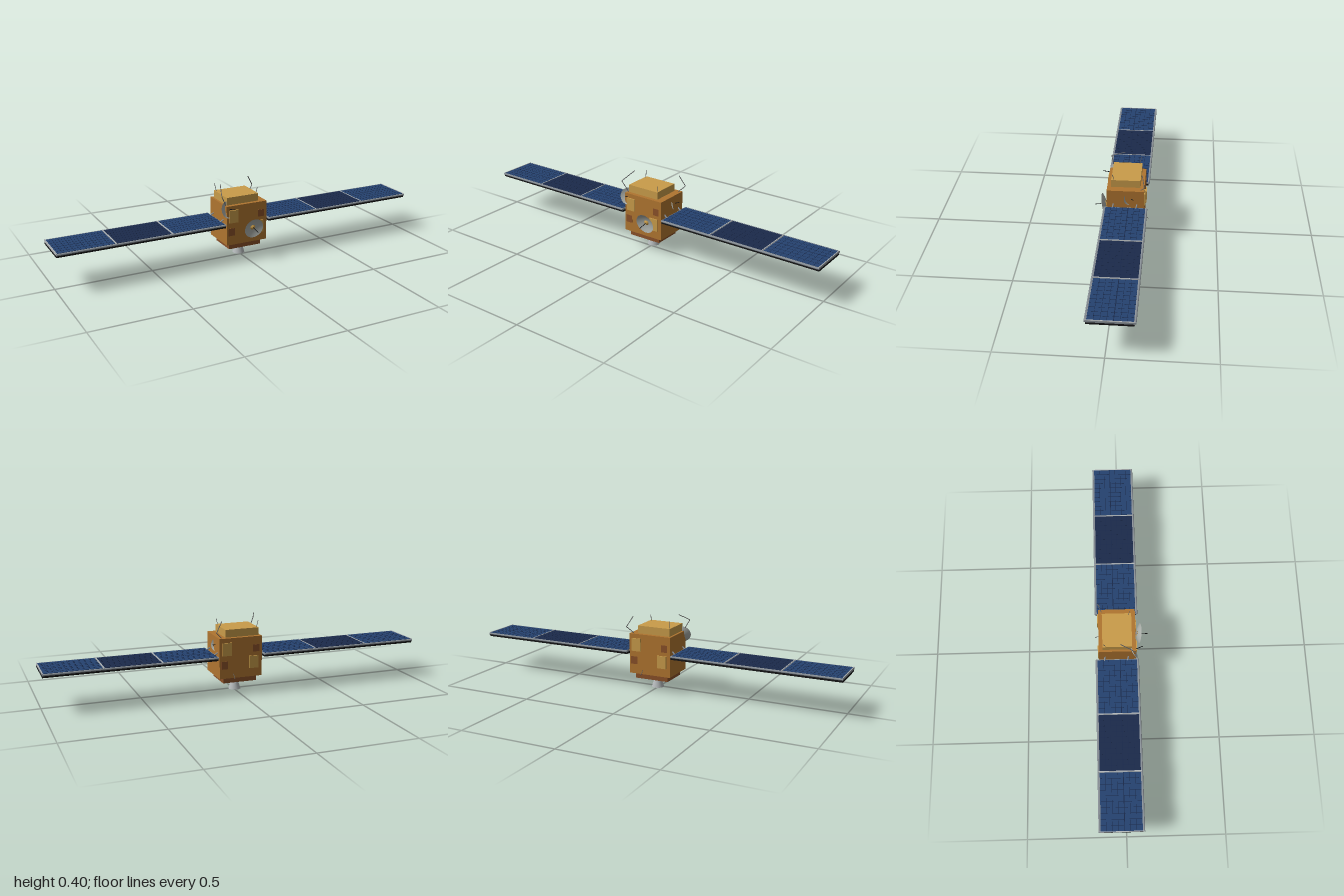
import * as THREE from 'three';

const mat = (color, double) => new THREE.MeshStandardMaterial({ color, side: double ? THREE.DoubleSide : THREE.FrontSide });
const M = {
  foil: mat(0xb07530), gold: mat(0xc99c4a), copper: mat(0x8a5028), black: mat(0x141516),
  metal: mat(0x8b9299), silver: mat(0xb4b8ba, true), dish: mat(0xa9ada8, true), rod: mat(0x6b6b6b),
  cellBlue: mat(0x25426f), cellNavy: mat(0x1b2a4b), line: mat(0x18284a), seam: mat(0x3a4148),
};
const V = (a) => new THREE.Vector3(...a);
const UP = new THREE.Vector3(0, 1, 0);

function add(parent, name, geometry, material, pos = [0, 0, 0]) {
  const mesh = new THREE.Mesh(geometry, material);
  mesh.name = name;
  mesh.position.set(...pos);
  parent.add(mesh);
  return mesh;
}

// Box given by its limits on each axis
function box(parent, name, material, [x0, x1], [y0, y1], [z0, z1]) {
  return add(parent, name, new THREE.BoxGeometry(x1 - x0, y1 - y0, z1 - z0), material,
    [(x0 + x1) / 2, (y0 + y1) / 2, (z0 + z1) / 2]);
}

// Straight round bar between two points
function bar(parent, name, material, a, b, r) {
  const d = V(b).sub(V(a));
  const mesh = add(parent, name, new THREE.CylinderGeometry(r, r, d.length(), 6), material);
  mesh.position.copy(V(a)).addScaledVector(d, 0.5);
  mesh.quaternion.setFromUnitVectors(UP, d.normalize());
}

// Shallow bowl with a feed rod; pos is the centre of the rim
function makeDish(parent, name, pos, dir, r, depth, feed) {
  const g = new THREE.Group();
  g.name = name;
  const profile = [];
  for (let i = 0; i <= 8; i++) profile.push(new THREE.Vector2(r * i / 8, depth * ((i / 8) ** 2 - 1)));
  add(g, 'bowl', new THREE.LatheGeometry(profile, 28), M.dish);
  add(g, 'feedBase', new THREE.CylinderGeometry(r * 0.12, r * 0.28, depth * 0.5, 12), M.gold, [0, -depth * 0.72, 0]);
  bar(g, 'feedRod', M.black, [0, -depth, 0], [0, feed, 0], 0.0018);
  g.position.set(...pos);
  g.quaternion.setFromUnitVectors(UP, V(dir).normalize());
  parent.add(g);
}

// One wing of three solar panels, built towards +x
function makeWing(name) {
  const g = new THREE.Group();
  g.name = name;
  const x0 = 0.125, x1 = 1, z0 = -0.132, z1 = 0.083, seg = (x1 - x0) / 3;
  box(g, 'backing', M.black, [x0, x1], [0.19, 0.2], [z0 + 0.003, z1 - 0.003]);
  box(g, 'frame', M.metal, [x0, x1], [0.2, 0.209], [z0, z1]);
  for (const z of [z0, z1]) bar(g, 'edgeRail', M.metal, [x0, 0.205, z], [x1, 0.205, z], 0.005);
  for (let s = 0; s < 3; s++) {
    const a = x0 + s * seg + 0.004, b = x0 + (s + 1) * seg - 0.004;
    const c = z0 + 0.006, d = z1 - 0.006;
    box(g, 'cells', s === 1 ? M.cellNavy : M.cellBlue, [a, b], [0.205, 0.2105], [c, d]);
    // Fine lines between the cells
    for (let i = 1; i < 10; i++) {
      const x = a + (b - a) * i / 10;
      box(g, 'cellLine', M.line, [x - 0.0008, x + 0.0008], [0.21, 0.211], [c, d]);
    }
    for (let i = 1; i < 7; i++) {
      const z = c + (d - c) * i / 7, w = i === 3 ? 0.0018 : 0.0008;
      box(g, 'cellLine', M.line, [a, b], [0.21, 0.211], [z - w, z + w]);
    }
    box(g, 'panelJoint', M.silver, [b, b + 0.004], [0.2, 0.2125], [z0, z1]);
  }
  // Hinge struts to the body
  for (const z of [0.037, -0.083]) {
    bar(g, 'hinge', M.metal, [0.112, 0.222, z], [0.135, 0.205, z + 0.006], 0.004);
    bar(g, 'hinge', M.metal, [0.112, 0.19, z], [0.135, 0.205, z + 0.006], 0.004);
  }
  return g;
}

// Thin plates of one face, laid out around the body centre
function makePlates(name) {
  const g = new THREE.Group();
  g.name = name;
  const z = [0.09, 0.1015];
  box(g, 'upperPlate', M.gold, [-0.1, -0.05], [0.21, 0.277], z);
  box(g, 'lowerPlate', M.gold, [0.045, 0.095], [0.135, 0.2], z);
  box(g, 'lowerHatch', M.copper, [-0.107, -0.07], [0.14, 0.18], [0.09, 0.097]);
  box(g, 'upperHatch', M.copper, [0.065, 0.1], [0.22, 0.257], [0.09, 0.097]);
  g.position.z = -0.023;
  return g;
}

export function createModel() {
  const root = new THREE.Group();
  root.name = 'satellite';

  // Body
  box(root, 'body', M.foil, [-0.115, 0.115], [0.09, 0.3], [-0.118, 0.072]);
  box(root, 'topDeck', M.gold, [-0.104, 0.077], [0.3, 0.34], [-0.098, 0.052]);
  box(root, 'bottomDeck', M.copper, [-0.093, 0.089], [0.06, 0.09], [-0.098, 0.053]);
  root.add(makePlates('frontPlates'));
  const back = makePlates('backPlates');
  back.rotation.y = Math.PI;
  root.add(back);

  // Engine nozzle
  add(root, 'nozzle', new THREE.CylinderGeometry(0.014, 0.032, 0.056, 20, 1, true), M.silver, [0, 0.033, -0.023]);
  add(root, 'nozzleCore', new THREE.CylinderGeometry(0.013, 0.015, 0.055, 16), M.black, [0, 0.0275, -0.023]);

  // Solar wings
  root.add(makeWing('leftWing'));
  const right = makeWing('rightWing');
  right.rotation.y = Math.PI;
  right.position.z = -0.049;
  root.add(right);

  // Dishes
  makeDish(root, 'mainDish', [0.03, 0.168, 0.096], [0, -0.19, 0.98], 0.053, 0.015, 0.045);
  bar(root, 'mainDishMount', M.metal, [0.03, 0.171, 0.07], [0.03, 0.171, 0.082], 0.008);
  makeDish(root, 'upperDish', [-0.1, 0.28, 0.062], [0.25, 0.3, 0.9], 0.045, 0.013, 0.05);
  makeDish(root, 'sideDish', [0.105, 0.253, -0.045], [0.8, 0.2, -0.6], 0.035, 0.011, 0.035);

  // Bent and short whip antennas
  const whips = [
    [[-0.11, 0.3, 0.05], [-0.14, 0.358, 0.067], [-0.112, 0.398, -0.007]],
    [[0.1, 0.3, -0.1], [0.132, 0.333, -0.12], [0.1, 0.387, -0.107]],
    [[0.07, 0.335, 0.037], [0.075, 0.37, 0.045]],
    [[-0.097, 0.335, -0.083], [-0.103, 0.378, -0.094]],
    [[0.04, 0.112, -0.117], [0.04, 0.09, -0.14]],
  ];
  for (const p of whips) {
    for (let i = 1; i < p.length; i++) bar(root, 'antenna', M.rod, p[i - 1], p[i], p.length > 2 ? 0.002 : 0.0014);
  }
  return root;
}
